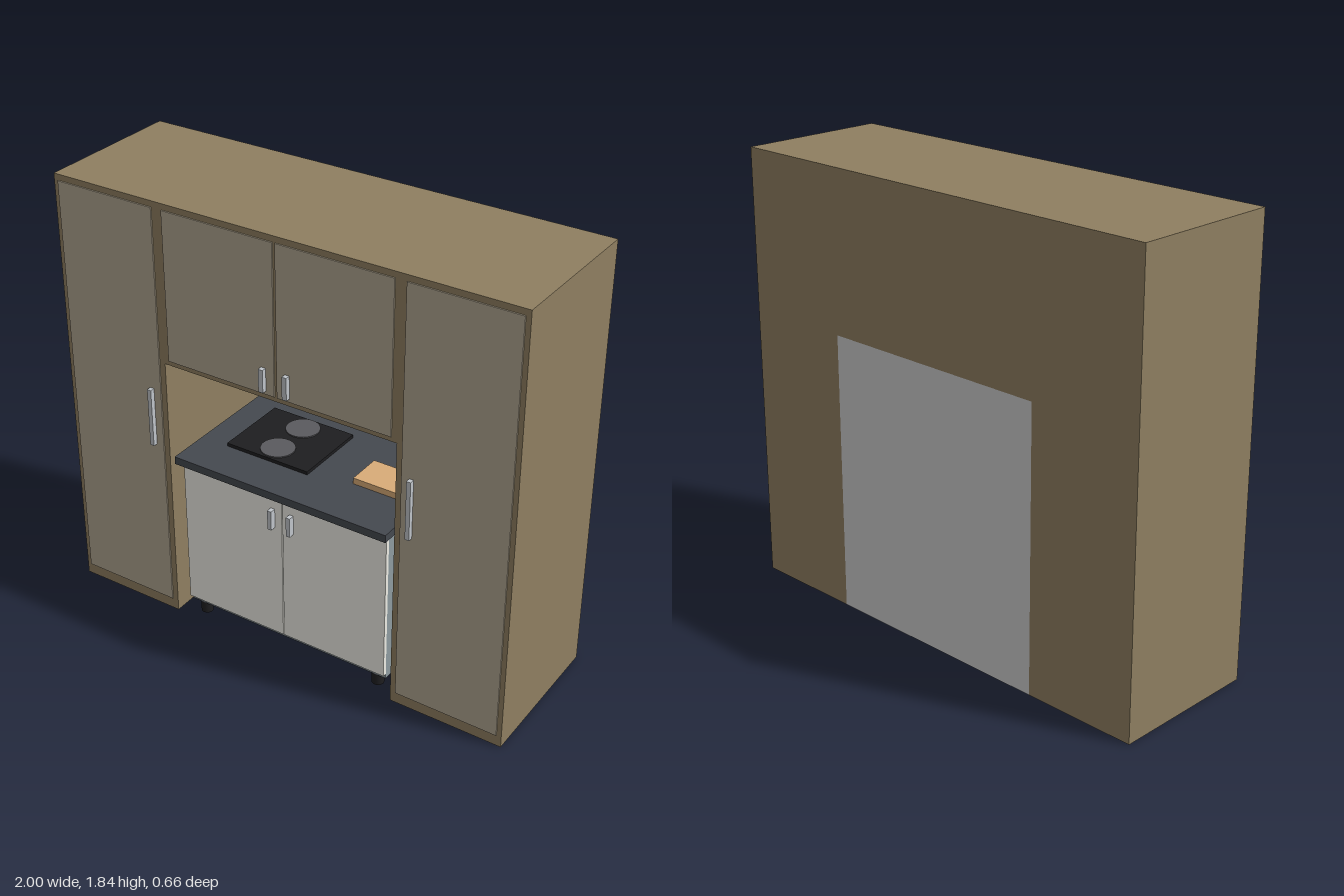
import * as THREE from 'three';

const mat = (color) => new THREE.MeshStandardMaterial({ color });
const wood = mat(0x8f7f61), doorWood = mat(0xb0a590), white = mat(0xeeede5);
const slate = mat(0x45494f), black = mat(0x1e1e20), burnerGrey = mat(0x5a5a5e);
const steel = mat(0xc0c5ca), carcassGrey = mat(0x8e9ba0), boardWood = mat(0xd9ac78);
const panelGrey = mat(0xcccccc), underside = mat(0x5c626a);

export function createModel() {
  const model = new THREE.Group();

  const add = (name, geometry, material, x, y, z) => {
    const mesh = new THREE.Mesh(geometry, material);
    mesh.name = name;
    mesh.position.set(x, y, z);
    model.add(mesh);
    return mesh;
  };
  // Box given by its minimum and maximum on each axis
  const box = (name, material, [x0, x1], [y0, y1], [z0, z1]) =>
    add(name, new THREE.BoxGeometry(x1 - x0, y1 - y0, z1 - z0), material,
      (x0 + x1) / 2, (y0 + y1) / 2, (z0 + z1) / 2);
  // The same box on both sides of the centre line
  const pair = (name, material, [x0, x1], y, z) => {
    box(name + 'Left', material, [x0, x1], y, z);
    box(name + 'Right', material, [-x1, -x0], y, z);
  };

  // Wardrobe body: an arch of two towers and an overhead cupboard
  const arch = new THREE.Shape([
    [-1, 0], [-0.515, 0], [-0.515, 1.17], [0.515, 1.17],
    [0.515, 0], [1, 0], [1, 1.835], [-1, 1.835],
  ].map(([x, y]) => new THREE.Vector2(x, y)));
  add('cabinetBody', new THREE.ExtrudeGeometry(arch, { depth: 0.635, bevelEnabled: false }), wood, 0, 0, -0.33);
  box('nicheBackPanel', panelGrey, [-0.515, 0.515], [0, 1.17], [-0.33, -0.305]);

  // Tower and overhead doors with their handles
  pair('towerDoor', doorWood, [0.54, 0.98], [0.05, 1.81], [0.295, 0.31]);
  pair('overheadDoor', doorWood, [0.006, 0.493], [1.19, 1.81], [0.295, 0.31]);
  pair('towerHandle', steel, [0.573, 0.591], [0.795, 1.045], [0.305, 0.33]);
  pair('overheadHandle', steel, [0.042, 0.062], [1.205, 1.3], [0.305, 0.33]);

  // Base unit
  box('baseCarcass', carcassGrey, [-0.468, 0.468], [0.058, 0.735], [-0.29, 0.262]);
  box('baseFloor', underside, [-0.468, 0.468], [0.054, 0.06], [-0.29, 0.262]);
  pair('baseDoor', white, [0.002, 0.468], [0.078, 0.733], [0.262, 0.28]);
  pair('baseHandle', steel, [0.034, 0.052], [0.585, 0.67], [0.28, 0.305]);
  box('countertop', slate, [-0.484, 0.484], [0.735, 0.768], [-0.29, 0.315]);

  // Feet
  for (const x of [-0.417, 0.417]) for (const z of [-0.22, 0.235]) {
    add('foot', new THREE.CylinderGeometry(0.025, 0.025, 0.056, 24), black, x, 0.028, z);
  }

  // Hob with two burners
  box('hob', black, [-0.36, 0.02], [0.768, 0.782], [-0.19, 0.137]);
  for (const z of [-0.115, 0.06]) {
    add('burner', new THREE.CylinderGeometry(0.07, 0.07, 0.006, 40), burnerGrey, -0.17, 0.784, z);
  }

  box('cuttingBoard', boardWood, [0.2, 0.43], [0.768, 0.794], [-0.06, 0.09]);

  return model;
}
